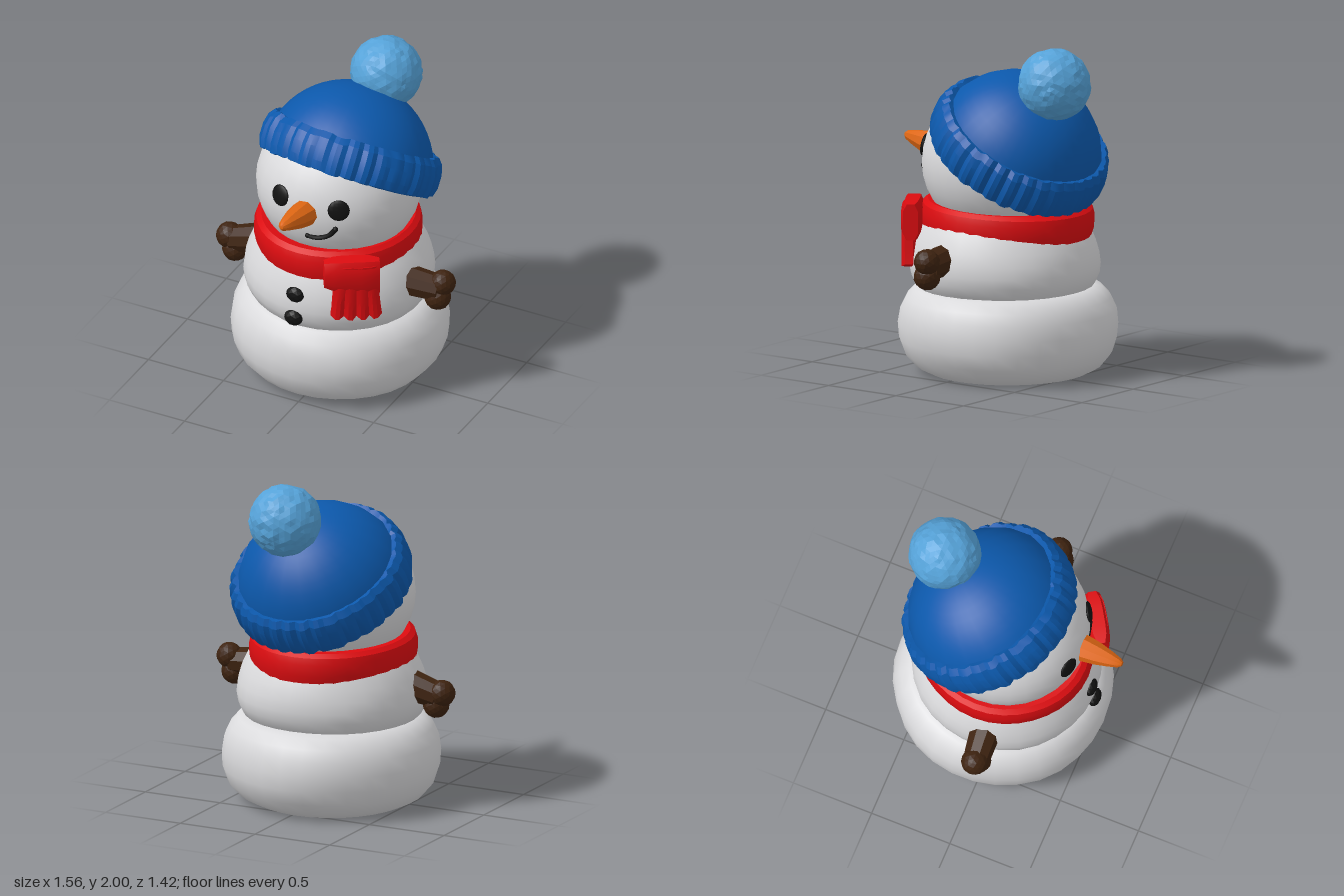
import * as THREE from 'three';
import { toCreasedNormals } from 'three/addons/utils/BufferGeometryUtils.js';

const V = (x, y, z) => new THREE.Vector3(x, y, z);
const mat = (name, color) => {
  const m = new THREE.MeshStandardMaterial({ color });
  m.name = name;
  return m;
};

// Repeatable noise in -1..1 from a number
const noise = (n) => {
  const s = Math.sin(n * 127.1 + 3.7) * 43758.5453;
  return (s - Math.floor(s)) * 2 - 1;
};

// Move every vertex of a geometry by a rule
function shape(geo, rule) {
  const p = geo.attributes.position;
  const v = V(0, 0, 0);
  for (let i = 0; i < p.count; i++) {
    rule(v.fromBufferAttribute(p, i), i);
    p.setXYZ(i, v.x, v.y, v.z);
  }
  geo.computeVertexNormals();
  return geo;
}

const lathe = (pts, segs) => new THREE.LatheGeometry(pts.map(([r, y]) => new THREE.Vector2(r, y)), segs);

// Gentle hand-moulded unevenness
const wobble = (v) => {
  const k = 1 + 0.009 * Math.sin(7 * v.x + 9 * v.y) * Math.cos(8 * v.z - 4 * v.y);
  v.x *= k;
  v.z *= k;
};

// Faceted ball
const pebble = (r, detail, rough) => shape(new THREE.IcosahedronGeometry(r, detail), (v) => {
  const key = Math.round(v.x * 1e4) * 0.013 + Math.round(v.y * 1e4) * 0.037 + Math.round(v.z * 1e4) * 0.071;
  v.multiplyScalar(1 + rough * noise(key));
});

export function createModel() {
  const root = new THREE.Group();
  root.name = 'snowman';
  const snow = mat('snow white', 0xdadadc);
  const blue = mat('hat blue', 0x0c58ab);
  const lightBlue = mat('pompom light blue', 0x55a2d8);
  const red = mat('scarf red', 0xdc0c10);
  const brown = mat('arm brown', 0x3e2310);
  const orange = mat('carrot orange', 0xdd6613);
  const black = mat('coal black', 0x111111);

  const add = (name, geo, material, pos = [0, 0, 0], parent = root) => {
    const m = new THREE.Mesh(geo, material);
    m.name = name;
    m.position.set(...pos);
    parent.add(m);
    return m;
  };

  // Body
  const base = lathe([[0, 0], [0.47, 0], [0.55, 0.04], [0.61, 0.11], [0.642, 0.2], [0.65, 0.29],
    [0.638, 0.38], [0.605, 0.45], [0.555, 0.505], [0.5, 0.522], [0.3, 0.53]], 30);
  add('lowerBody', toCreasedNormals(shape(base, wobble), 0.6), snow, [-0.015, 0, -0.065]);
  const middle = lathe([[0.48, 0.48], [0.53, 0.53], [0.558, 0.59], [0.567, 0.65], [0.56, 0.72],
    [0.54, 0.79], [0.5, 0.88], [0.44, 0.97], [0.3, 1.0]], 30);
  add('middleBody', toCreasedNormals(shape(middle, wobble), 0.6), snow, [-0.01, 0, -0.045]);

  // Head
  const hc = V(-0.01, 1.26, -0.045), hr = V(0.495, 0.46, 0.495);
  const head = new THREE.SphereGeometry(1, 30, 18).scale(hr.x, hr.y, hr.z);
  add('head', head, snow, hc.toArray());
  const onFace = (x, y) => V(x, y, hc.z + hr.z * Math.sqrt(1 - ((x - hc.x) / hr.x) ** 2 - ((y - hc.y) / hr.y) ** 2));

  // Eyes
  for (const [name, x, y] of [['rightEye', -0.165, 1.352], ['leftEye', 0.21, 1.34]]) {
    const p = onFace(x, y);
    const eye = add(name, new THREE.SphereGeometry(1, 12, 8).scale(0.066, 0.066, 0.018), black, p.toArray());
    eye.lookAt(p.clone().add(p.clone().sub(hc).divide(hr).divide(hr)));
  }

  // Lopsided smile
  const smile = [[0.025, 1.135], [0.07, 1.13], [0.12, 1.142], [0.165, 1.172], [0.195, 1.212]].map(([x, y]) => onFace(x, y));
  add('mouth', new THREE.TubeGeometry(new THREE.CatmullRomCurve3(smile), 16, 0.016, 6), black);
  for (const end of [smile[0], smile[4]]) add('mouthEnd', new THREE.SphereGeometry(0.017, 8, 6), black, end.toArray());

  // Carrot nose
  const nose = lathe([[0.084, 0], [0.08, 0.06], [0.068, 0.14], [0.048, 0.22], [0.03, 0.28], [0.014, 0.3], [0, 0.303]], 9);
  const carrot = add('nose', toCreasedNormals(nose, 0.5), orange, [0.01, 1.285, 0.4]);
  carrot.quaternion.setFromUnitVectors(V(0, 1, 0), V(-0.025, 0.045, 0.3).normalize());

  // Buttons
  for (const [y, z] of [[0.745, 0.5], [0.597, 0.525]]) {
    add('button', pebble(1, 1, 0.03).scale(0.06, 0.052, 0.035), black, [-0.022, y, z]);
  }

  // Scarf loop
  const loop = lathe([[0.4, 0.84], [0.475, 0.828], [0.505, 0.845], [0.517, 0.89], [0.517, 0.96],
    [0.505, 1.0], [0.475, 1.022], [0.4, 1.015]], 36);
  shape(loop, wobble).scale(0.95, 1, 1.025);
  add('scarfLoop', toCreasedNormals(loop, 0.6), red, [-0.02, 0, -0.025]).rotation.x = -0.03;

  // Hanging scarf end with a fringed hem, and the fold over it
  const scarfEnd = new THREE.Group();
  scarfEnd.name = 'scarfEnd';
  scarfEnd.position.set(0.325, 0, 0.4);
  scarfEnd.rotation.y = 0.56;
  root.add(scarfEnd);
  const tail = shape(new THREE.BoxGeometry(0.3, 0.36, 0.09, 12, 6, 2), (v) => {
    const t = 0.5 - v.y / 0.36;
    const u = v.x / 0.15;
    const col = Math.round((u + 1) * 6);
    v.x *= 0.78 + 0.24 * t;
    v.z *= 1 - 0.35 * u ** 4;
    if (v.z > 0.02) v.z -= (col % 3 === 0 ? 0.014 : 0) * t;
    if (t > 0.95) v.y += col % 3 === 0 ? 0.02 : 0.006 * noise(col);
  });
  add('scarfTail', toCreasedNormals(tail, 0.45), red, [0.005, 0.825, 0.005], scarfEnd);
  const fold = shape(new THREE.BoxGeometry(0.33, 0.19, 0.13, 6, 4, 3), (v) => {
    const u = v.x / 0.165, w = v.y / 0.095;
    v.z *= 1 - 0.3 * u ** 4 - 0.35 * w ** 4;
    v.y *= 1 - 0.12 * u ** 4;
    v.y -= 0.025 * (u + 1) * (w < 0 ? 1 : 0);
  });
  add('scarfFold', toCreasedNormals(fold, 0.6), red, [-0.02, 0.94, -0.01], scarfEnd);

  // Stubby wooden arms: limb plus knobbly hand
  const arm = (name, from, to, knobs) => {
    const g = new THREE.Group();
    g.name = name;
    root.add(g);
    const a = V(...from), b = V(...to), d = b.clone().sub(a);
    const limb = shape(new THREE.CylinderGeometry(0.08, 0.1, d.length(), 9, 2), wobble);
    add('limb', toCreasedNormals(limb, 0.5), brown, a.clone().add(b).multiplyScalar(0.5).toArray(), g)
      .quaternion.setFromUnitVectors(V(0, 1, 0), d.normalize());
    for (const [x, y, z, r] of knobs) add('knob', pebble(r, 2, 0.02), brown, [x, y, z], g);
  };
  arm('leftArm', [0.44, 0.735, 0.035], [0.69, 0.72, 0.01], [[0.7, 0.757, -0.002, 0.078], [0.675, 0.662, 0.015, 0.08]]);
  arm('rightArm', [-0.44, 0.745, 0.02], [-0.68, 0.68, 0.035], [[-0.702, 0.7, 0.035, 0.08], [-0.66, 0.622, 0.04, 0.078]]);

  // Tilted knitted hat
  const hat = new THREE.Group();
  hat.name = 'hat';
  hat.position.set(-0.003, 1.27, -0.105);
  hat.rotation.set(-0.546, 0, -0.055);
  root.add(hat);
  const domePts = [];
  for (let i = 0; i <= 14; i++) {
    const t = (i / 14) * Math.PI / 2;
    domePts.push([0.512 * Math.cos(t), 0.04 + 0.51 * Math.sin(t)]);
  }
  const dome = shape(lathe(domePts, 40), (v) => {
    const k = 1 + 0.006 * Math.cos(20 * Math.atan2(v.x, v.z));
    v.x *= k;
    v.z *= k;
  });
  add('hatDome', toCreasedNormals(dome, 0.6), blue, [0, 0, 0], hat);

  // Turned-up brim with irregular rib grooves
  const ribs = 36, segs = ribs * 3;
  const brimPts = [[0.43, 0.02], [0.5, 0], [0.535, 0.008], [0.55, 0.06], [0.55, 0.14], [0.535, 0.2], [0.505, 0.238], [0.455, 0.225]];
  const brim = shape(lathe(brimPts, segs), (v, i) => {
    const col = Math.floor(i / brimPts.length) % segs;
    const row = i % brimPts.length;
    const rib = Math.floor(col / 3);
    if (row < 2 || row > 6) return;
    const k = col % 3 === 0 ? 0.975 - 0.012 * noise(rib) : 1 + 0.006 * noise(rib + 50);
    v.x *= k;
    v.z *= k;
    v.y += 0.006 * noise(rib + 90);
  });
  add('hatBrim', toCreasedNormals(brim, 0.35), blue, [0, 0, 0], hat);

  // Fluffy pompom
  add('pompom', pebble(0.215, 6, 0.025), lightBlue, [0.077, 1.785, -0.475]);

  return root;
}
